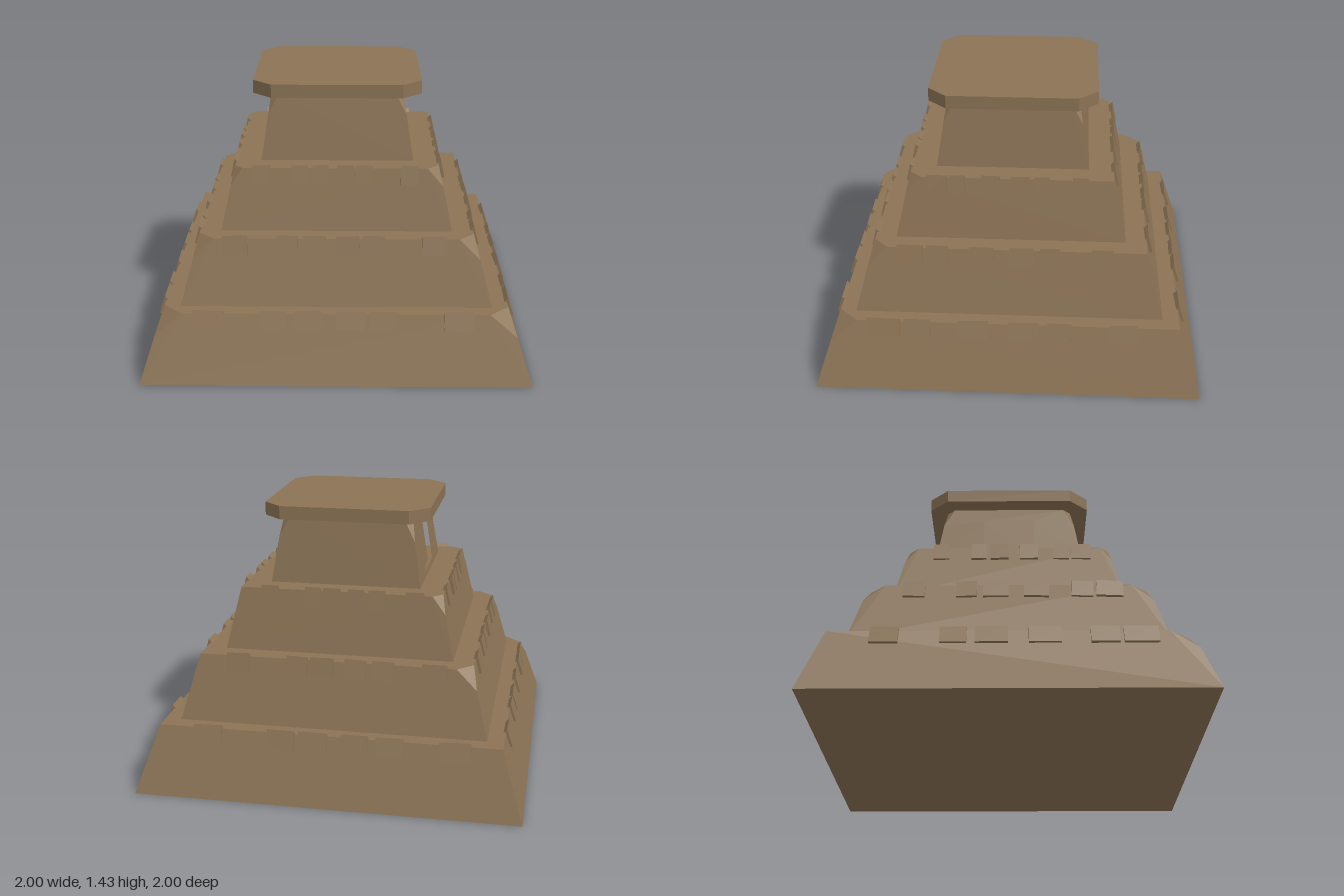
import * as THREE from 'three';
import { ConvexGeometry } from 'three/addons/geometries/ConvexGeometry.js';

// Tiers: base y, height, half width at bottom and top, and how far each top corner is chipped
// (order: +x+z, -x+z, +x-z, -x-z)
const TIERS = [
  { y: 0, h: 0.35, b: 1, t: 0.885, chips: [0.1, 0.1, 0, 0], drop: 0.11 },
  { y: 0.35, h: 0.34, b: 0.8, t: 0.71, chips: [0.08, 0.08, 0, 0.08], drop: 0.1 },
  { y: 0.69, h: 0.32, b: 0.6, t: 0.53, chips: [0.06, 0.04, 0, 0.05], drop: 0.09 },
  { y: 1.01, h: 0.35, b: 0.4, t: 0.345, chips: [0.04, 0.04, 0.04, 0.04], drop: 0.11 },
];

// Stone spans along the front/back (x) and along the sides (z), scaled per tier
const SPANS_X = [[-0.73, -0.57], [-0.39, -0.25], [-0.21, -0.07], [0, 0.15], [0.17, 0.31], [0.55, 0.7]];
const SPANS_Z = [[-0.67, -0.53], [-0.33, -0.2], [-0.16, 0], [0.1, 0.26], [0.4, 0.54], [0.56, 0.73]];

// Square frustum with chipped top corners
function tierGeometry({ h, b, t, chips, drop }) {
  const points = [];
  chips.forEach((c, i) => {
    const sx = i % 2 ? -1 : 1, sz = i < 2 ? 1 : -1;
    const add = (x, y, z) => points.push(new THREE.Vector3(sx * x, y, sz * z));
    add(b, 0, b);
    if (c === 0) return add(t, h, t);
    const e = t + (b - t) * drop / h;
    add(e, h - drop, e);
    add(t, h, t - c);
    add(t - c, h, t);
  });
  return new ConvexGeometry(points);
}

// Removes the triangles facing -x, leaving room for the doorway wall
function openLeftFace(geometry) {
  const p = geometry.attributes.position, n = geometry.attributes.normal;
  const pos = [];
  for (let i = 0; i < p.count; i += 3) {
    if (n.getX(i) < -0.95) continue;
    for (let k = i; k < i + 3; k++) pos.push(p.getX(k), p.getY(k), p.getZ(k));
  }
  const out = new THREE.BufferGeometry();
  out.setAttribute('position', new THREE.Float32BufferAttribute(pos, 3));
  out.computeVertexNormals();
  return out;
}

// Edge stone: a block whose top dips towards the tier
function stoneGeometry(w) {
  const g = new THREE.BoxGeometry(w, 0.1, 0.05).toNonIndexed();
  const p = g.attributes.position;
  for (let i = 0; i < p.count; i++) {
    if (p.getY(i) > 0 && p.getZ(i) < 0) p.setY(i, p.getY(i) - 0.03);
  }
  g.computeVertexNormals();
  return g;
}

const rect = (Type, x0, x1, y0, y1) => new Type([[x0, y0], [x0, y1], [x1, y1], [x1, y0]].map(([x, y]) => new THREE.Vector2(x, y)));

export function createModel() {
  const model = new THREE.Group();
  model.name = 'steppedPyramid';
  const stone = new THREE.MeshStandardMaterial({ color: 0x8b7355 });
  stone.name = 'sandstone';

  const add = (parent, geometry, name) => {
    const mesh = new THREE.Mesh(geometry, stone);
    mesh.name = name;
    parent.add(mesh);
    return mesh;
  };

  let seed = 7;
  const jitter = (a) => {
    seed = (seed * 16807) % 2147483647;
    return (seed / 2147483647 - 0.5) * 2 * a;
  };

  // Stacked tiers
  TIERS.forEach((tier, i) => {
    const top = i === 3;
    const g = tierGeometry(tier);
    add(model, top ? openLeftFace(g) : g, top ? 'temple' : 'tier' + (i + 1)).position.y = tier.y;
    if (top) return;

    // Loose stones around the upper edge of the tier
    const slope = (tier.b - tier.t) / tier.h;
    const scale = 1 - 0.2 * i;
    for (let side = 0; side < 4; side++) {
      const row = new THREE.Group();
      row.name = 'edgeStones';
      row.rotation.y = side * Math.PI / 2;
      model.add(row);
      // Opposite sides mirror each other
      const flip = side === 0 || side === 3 ? 1 : -1;
      for (const [a, c] of side % 2 ? SPANS_Z : SPANS_X) {
        const s = add(row, stoneGeometry((c - a) * scale), 'edgeStone');
        s.position.set(flip * (a + c) / 2 * scale, tier.y + tier.h - 0.035, tier.t + 0.035 * slope - 0.012 + jitter(0.003));
        s.rotation.set(-Math.atan(slope), jitter(0.03), jitter(0.03));
      }
    }
  });

  // Temple wall with doorway on the -x side
  const { y, h, b, t, drop } = TIERS[3];
  const lean = (b - t) / h;
  const e = t + lean * drop, c = t - 0.04;
  const outline = [[-b, 0], [b, 0], [e, h - drop], [c, h], [-c, h], [-e, h - drop]];
  const wall = new THREE.Shape(outline.map(([u, v]) => new THREE.Vector2(u, v)));
  const door = [-0.14, 0.14, 0.03, 0.27];
  wall.holes.push(rect(THREE.Path, ...door));

  // Maps (along, up, out) onto the leaning wall
  const onWall = (g) => {
    const p = g.attributes.position;
    for (let i = 0; i < p.count; i++) {
      const u = p.getX(i), v = p.getY(i), w = p.getZ(i);
      p.setXYZ(i, -(b - lean * v) - w, y + v, u);
    }
    g.computeVertexNormals();
    return g;
  };
  add(model, onWall(new THREE.ShapeGeometry(wall)), 'doorwayWall');

  // Door jambs and recessed panel
  const jamb = rect(THREE.Shape, -0.16, 0.16, 0.01, 0.29);
  jamb.holes.push(rect(THREE.Path, ...door));
  const jambGeometry = new THREE.ExtrudeGeometry(jamb, { depth: 0.03, bevelEnabled: false });
  add(model, onWall(jambGeometry.translate(0, 0, -0.031)), 'doorJambs');
  const panel = new THREE.ShapeGeometry(rect(THREE.Shape, -0.16, 0.16, 0.01, 0.29));
  add(model, onWall(panel.translate(0, 0, -0.03)), 'doorPanel');

  // Roof slab with cut corners
  const roof = [];
  for (const sx of [-1, 1]) for (const sz of [-1, 1]) for (const ry of [1.36, 1.43]) {
    roof.push(new THREE.Vector3(sx * 0.44, ry, sz * 0.34), new THREE.Vector3(sx * 0.34, ry, sz * 0.44));
  }
  add(model, new ConvexGeometry(roof), 'roofSlab');

  return model;
}
